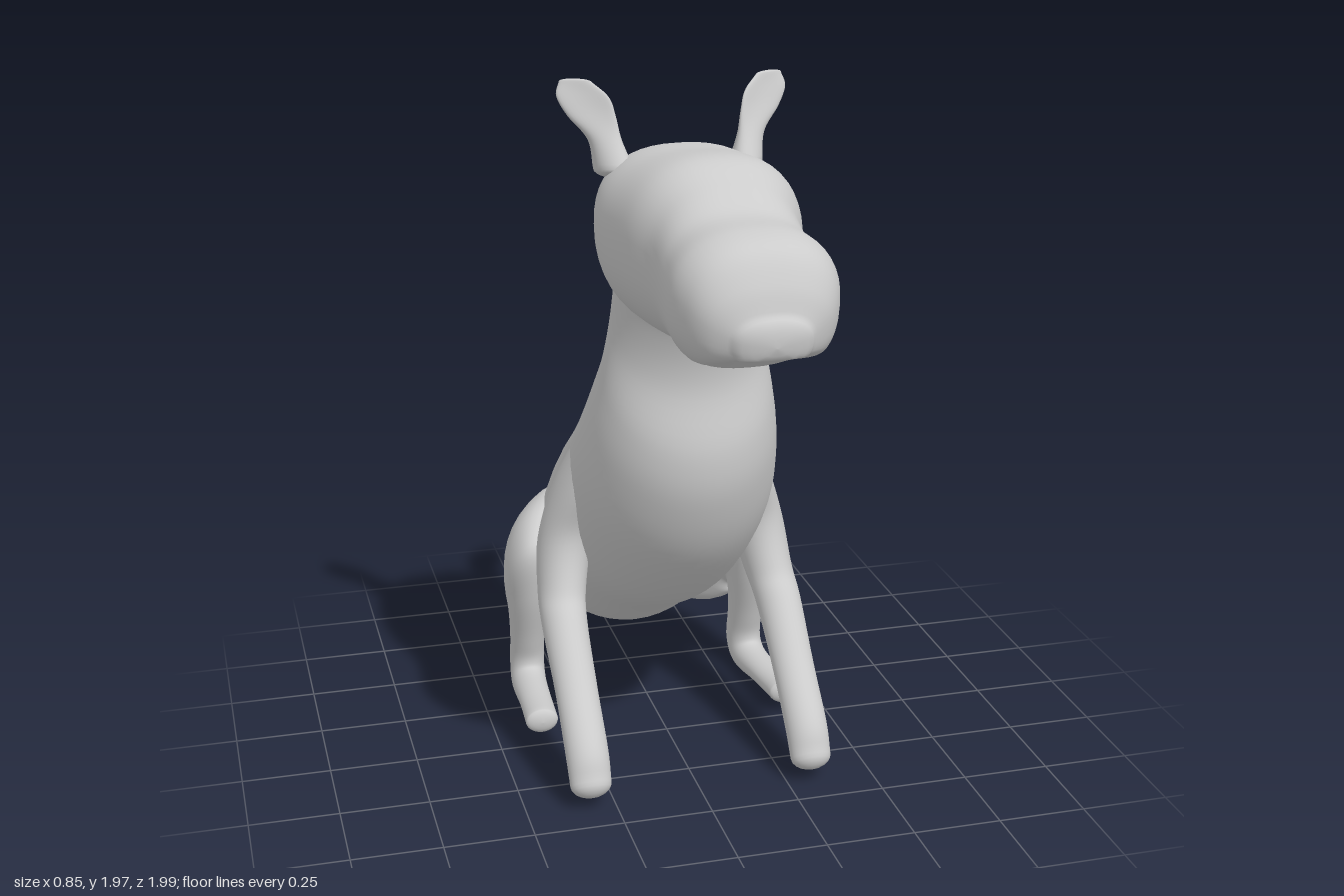
import * as THREE from 'three';

const material = new THREE.MeshStandardMaterial({ color: 0xcccccc });

// Smooth skin through cross-sections [az, ay, bz, by, halfWidth, centreX]:
// a and b are opposite points of the section in the side plane.
function loft(name, rows, { mirror = 1, steps = 6, sides = 32, power = 2, dome = 0.5, warp } = {}) {
  const curveA = new THREE.CatmullRomCurve3(rows.map(r => new THREE.Vector3(r[0], r[1], r[4])), false, 'catmullrom', 0.5);
  const curveB = new THREE.CatmullRomCurve3(rows.map(r => new THREE.Vector3(r[2], r[3], r[5] || 0)), false, 'catmullrom', 0.5);
  const count = (rows.length - 1) * steps;
  const positions = [], index = [];
  let rings = 0;

  const addRing = (t, scale, push) => {
    const a = curveA.getPoint(t), b = curveB.getPoint(t);
    const uz = (a.x - b.x) / 2, uy = (a.y - b.y) / 2;
    const len = Math.hypot(uy, uz), reach = push * dome * Math.min(len, a.z);
    const cy = (a.y + b.y) / 2 - (uz / len) * reach;
    const cz = (a.x + b.x) / 2 + (uy / len) * reach;
    for (let i = 0; i < sides; i++) {
      const ang = i / sides * Math.PI * 2;
      const round = v => Math.sign(v) * Math.abs(v) ** (2 / power);
      const c = round(Math.cos(ang)) * scale, s = round(Math.sin(ang)) * scale;
      const v = new THREE.Vector3(mirror * b.z + a.z * c, cy + uy * s, cz + uz * s);
      if (warp) warp(v, mirror, b.z);
      positions.push(v.x, v.y, v.z);
    }
    rings++;
  };

  // Rounded start, body, rounded end
  const capAngles = [0.001, 0.2, 0.4, 0.6, 0.8].map(k => k * Math.PI / 2);
  capAngles.forEach(q => addRing(0, Math.sin(q), -Math.cos(q)));
  for (let i = 0; i <= count; i++) addRing(i / count, 1, 0);
  capAngles.reverse().forEach(q => addRing(1, Math.sin(q), Math.cos(q)));

  for (let r = 0; r < rings - 1; r++) {
    for (let i = 0; i < sides; i++) {
      const j = (i + 1) % sides, p = r * sides, q = p + sides;
      index.push(p + i, p + j, q + j, p + i, q + j, q + i);
    }
  }
  const geometry = new THREE.BufferGeometry();
  geometry.setAttribute('position', new THREE.Float32BufferAttribute(positions, 3));
  geometry.setIndex(index);
  geometry.computeVertexNormals();
  const mesh = new THREE.Mesh(geometry, material);
  mesh.name = name;
  return mesh;
}

// Rump, belly, chest and neck: back point, belly point, half width
const TORSO = [
  [-0.81, 0.42, -0.79, 0.28, 0.10],
  [-0.79, 0.48, -0.72, 0.18, 0.19],
  [-0.72, 0.58, -0.58, 0.14, 0.25],
  [-0.60, 0.72, -0.40, 0.19, 0.28],
  [-0.42, 0.89, -0.18, 0.32, 0.29],
  [-0.25, 1.03, 0.09, 0.47, 0.285],
  [-0.12, 1.14, 0.30, 0.67, 0.28],
  [-0.04, 1.24, 0.40, 0.86, 0.26],
  [0.01, 1.33, 0.425, 1.02, 0.235],
  [0.035, 1.44, 0.395, 1.20, 0.21],
  [0.05, 1.56, 0.42, 1.34, 0.20],
  [0.06, 1.68, 0.48, 1.45, 0.20],
];

// Skull and muzzle: top point, underside point, half width
const HEAD = [
  [0.08, 1.77, 0.07, 1.50, 0.18],
  [0.13, 1.81, 0.15, 1.42, 0.235],
  [0.28, 1.825, 0.30, 1.37, 0.255],
  [0.48, 1.845, 0.45, 1.365, 0.235],
  [0.60, 1.80, 0.58, 1.375, 0.20],
  [0.70, 1.75, 0.70, 1.38, 0.20],
  [0.83, 1.74, 0.80, 1.385, 0.21],
  [0.91, 1.71, 0.87, 1.39, 0.19],
  [0.96, 1.64, 0.92, 1.41, 0.155],
  [0.985, 1.57, 0.965, 1.44, 0.10],
];

// Front leg: front point, back point, half width, centre x
const FRONT_LEG = [
  [0.10, 1.00, -0.14, 0.97, 0.05, 0.18],
  [0.07, 0.82, -0.19, 0.78, 0.08, 0.235],
  [0.03, 0.67, -0.16, 0.61, 0.08, 0.285],
  [0.07, 0.53, -0.09, 0.48, 0.07, 0.31],
  [0.13, 0.46, 0.01, 0.39, 0.065, 0.32],
  [0.26, 0.32, 0.18, 0.245, 0.06, 0.32],
  [0.39, 0.19, 0.30, 0.12, 0.06, 0.32],
  [0.43, 0.11, 0.355, 0.05, 0.058, 0.32],
];

// Hind leg: thigh, knee, shank, heel and foot
const HIND_LEG = [
  [-0.70, 0.50, -0.68, 0.25, 0.09, 0.13],
  [-0.59, 0.60, -0.58, 0.20, 0.13, 0.18],
  [-0.45, 0.62, -0.47, 0.20, 0.14, 0.25],
  [-0.33, 0.60, -0.42, 0.24, 0.105, 0.31],
  [-0.225, 0.53, -0.42, 0.26, 0.075, 0.345],
  [-0.24, 0.37, -0.425, 0.25, 0.06, 0.35],
  [-0.29, 0.21, -0.43, 0.19, 0.052, 0.35],
  [-0.31, 0.13, -0.44, 0.08, 0.052, 0.35],
  [-0.28, 0.105, -0.36, 0.01, 0.052, 0.355],
  [-0.15, 0.105, -0.17, 0.03, 0.048, 0.365],
  [-0.02, 0.115, -0.02, 0.04, 0.048, 0.375],
];

// Tail: lower point, upper point, half width
const TAIL = [
  [-0.74, 0.27, -0.72, 0.52, 0.10],
  [-0.80, 0.335, -0.81, 0.43, 0.062],
  [-0.87, 0.35, -0.86, 0.415, 0.045],
  [-0.94, 0.385, -0.91, 0.455, 0.05],
  [-0.98, 0.42, -0.95, 0.475, 0.055],
];

// Ear: back point, front point, half width, centre x
const EAR = [
  [0.06, 1.74, 0.20, 1.76, 0.05, 0.18],
  [0.08, 1.82, 0.15, 1.83, 0.042, 0.20],
  [0.065, 1.88, 0.11, 1.89, 0.06, 0.23],
  [0.05, 1.93, 0.085, 1.94, 0.065, 0.25],
  [0.045, 1.97, 0.07, 1.975, 0.04, 0.265],
];

export function createModel() {
  const group = new THREE.Group();
  group.name = 'sittingDog';

  group.add(loft('torso', TORSO, { sides: 48 }));

  // The underside of the muzzle is hollowed into a mouth
  group.add(loft('head', HEAD, {
    sides: 48, power: 2.4,
    warp: v => {
      if (v.z > 0.78 && v.y < 1.47) {
        const side = Math.max(0, 1 - (v.x / 0.16) ** 2);
        v.y += 0.8 * (1.47 - v.y) * side * Math.min(1, (v.z - 0.78) / 0.12);
      }
    },
  }));

  group.add(loft('tail', TAIL));

  for (const [side, mirror] of [['left', 1], ['right', -1]]) {
    group.add(loft(side + 'FrontLeg', FRONT_LEG, { mirror, dome: 0.8 }));
    group.add(loft(side + 'HindLeg', HIND_LEG, { mirror }));
    // Ears turn outward with a slightly cupped front
    group.add(loft(side + 'Ear', EAR, {
      mirror,
      warp: (v, m, cx) => {
        const d = v.x * m - cx;
        v.z += -0.4 * d + 4 * d * d;
      },
    }));
  }
  return group;
}
